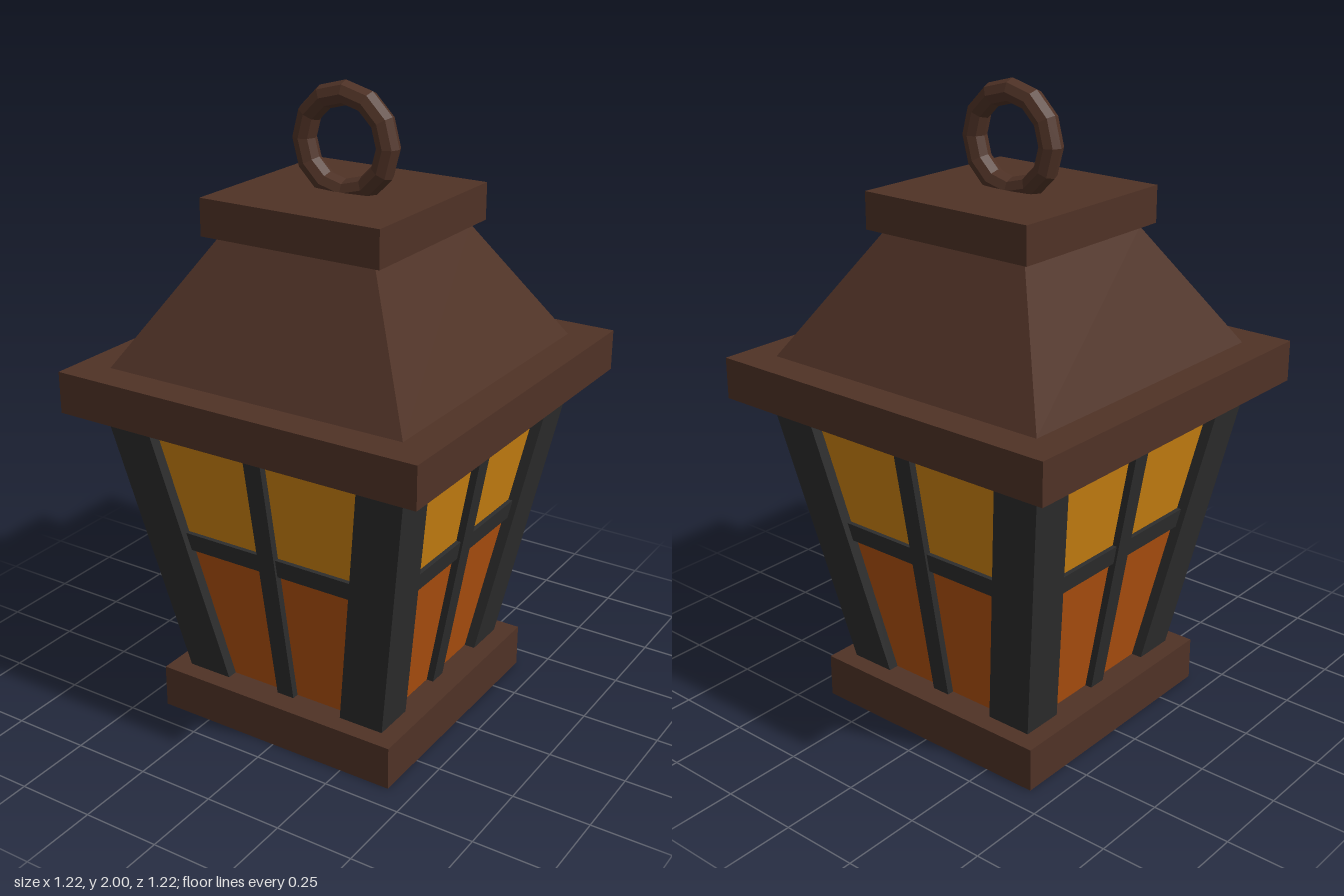
import * as THREE from 'three';

const material = (name, color) => {
  const m = new THREE.MeshStandardMaterial({ color });
  m.name = name;
  return m;
};

// Box from y0 to y1 whose bottom and top rectangles [x0, x1, z0, z1] may differ.
function taperedBox(y0, y1, bottom, top) {
  const g = new THREE.BoxGeometry(1, 1, 1);
  const p = g.attributes.position;
  for (let i = 0; i < p.count; i++) {
    const up = p.getY(i) > 0;
    const r = up ? top : bottom;
    p.setXYZ(i, p.getX(i) > 0 ? r[1] : r[0], up ? y1 : y0, p.getZ(i) > 0 ? r[3] : r[2]);
  }
  const flat = g.toNonIndexed();
  flat.computeVertexNormals();
  return flat;
}

const square = (h) => [-h, h, -h, h];

// Half width of the lantern body's outer faces at height y.
const body = (y) => 0.36 + ((y - 0.14) / 0.91) * 0.16;

export function createModel() {
  const brown = material('brown metal', 0x4f3226);
  const iron = material('dark iron', 0x2d2d2d);
  const amber = material('amber glass', 0xcc8211);
  const orange = material('orange glass', 0xb0510f);

  const model = new THREE.Group();
  model.name = 'lantern';
  const add = (name, geometry, mat, parent = model) => {
    const mesh = new THREE.Mesh(geometry, mat);
    mesh.name = name;
    parent.add(mesh);
    return mesh;
  };

  // Base, eave, sloped roof and cap
  add('base', taperedBox(0, 0.14, square(0.42), square(0.42)), brown);
  add('eave', taperedBox(1.05, 1.18, square(0.61), square(0.61)), brown);
  add('roof', taperedBox(1.18, 1.555, square(0.503), square(0.27)), brown);
  add('cap', taperedBox(1.565, 1.68, square(0.304), square(0.304)), brown);

  // Hanging ring
  const ringGeometry = new THREE.TorusGeometry(0.144, 0.037, 8, 12).toNonIndexed();
  ringGeometry.computeVertexNormals();
  add('hangingRing', ringGeometry, brown).position.y = 1.82;

  // Glass body in two colours
  const inset = 0.035;
  const glass = (y0, y1) =>
    taperedBox(y0, y1, square(body(y0) - inset), square(body(y1) - inset));
  add('lowerGlass', glass(0.14, 0.63), orange);
  add('upperGlass', glass(0.63, 1.035), amber);

  // Leaning corner posts
  for (const sx of [-1, 1]) {
    for (const sz of [-1, 1]) {
      const corner = (outer) => {
        const x = [sx * outer, sx * (outer - 0.15)].sort((a, b) => a - b);
        const z = [sz * outer, sz * (outer - 0.14)].sort((a, b) => a - b);
        return [...x, ...z];
      };
      add('cornerPost', taperedBox(0.14, 1.05, corner(0.36), corner(0.52)), iron);
    }
  }

  // Upright and cross bar on each of the four windows
  for (let i = 0; i < 4; i++) {
    const bars = new THREE.Group();
    bars.name = 'windowBars';
    bars.rotation.y = (i * Math.PI) / 2;
    const bar = (y, half, front) => [-half, half, body(y) - 0.06, body(y) - front];
    add('uprightBar', taperedBox(0.14, 1.05, bar(0.14, 0.03, 0.012), bar(1.05, 0.03, 0.012)), iron, bars);
    add('crossBar', taperedBox(0.6, 0.66, bar(0.6, 0.32, 0.02), bar(0.66, 0.32, 0.02)), iron, bars);
    model.add(bars);
  }

  return model;
}
